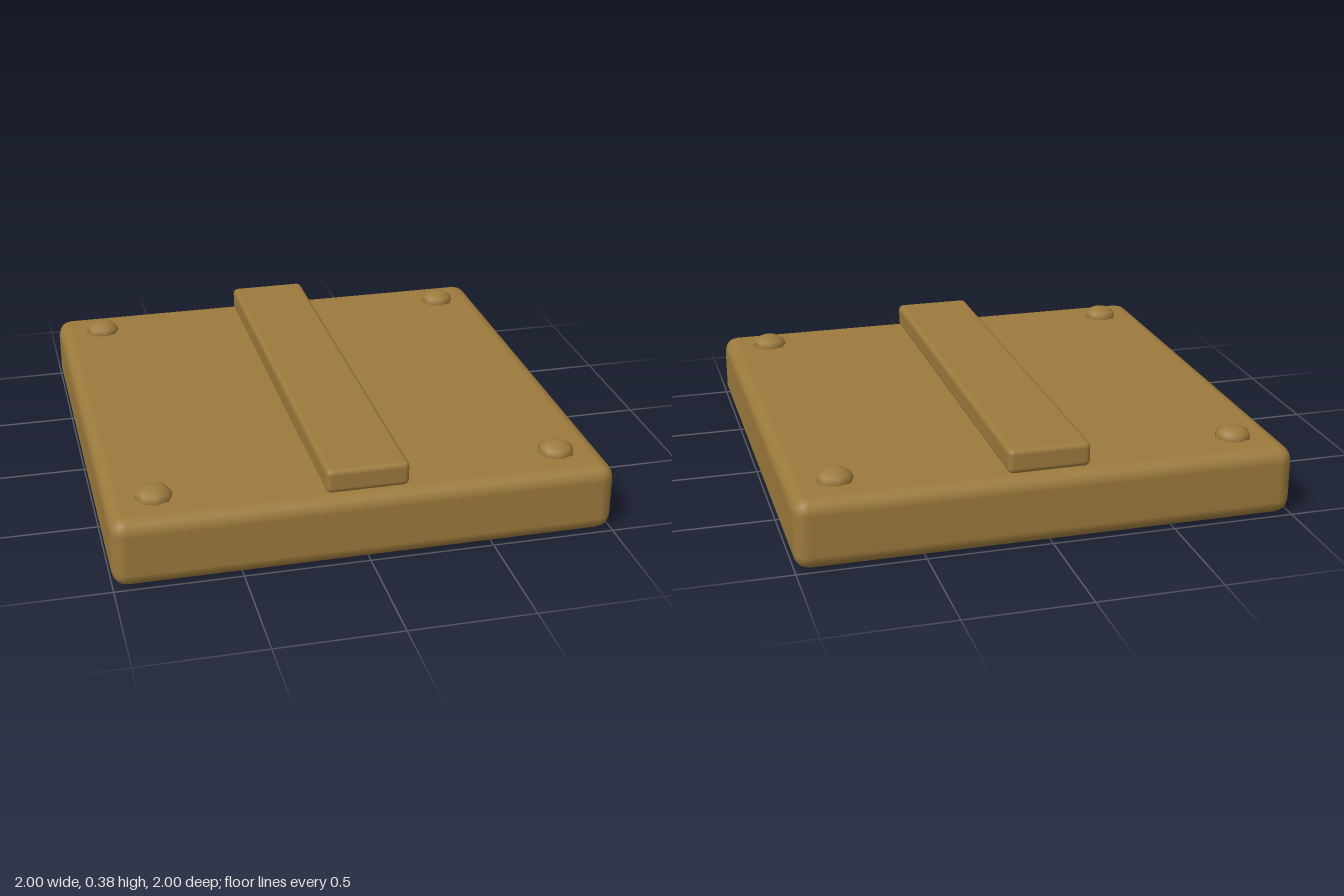
import * as THREE from 'three';
import { RoundedBoxGeometry } from 'three/addons/geometries/RoundedBoxGeometry.js';

export function createModel() {
  const model = new THREE.Group();
  model.name = 'studdedSlab';
  const ochre = new THREE.MeshStandardMaterial({ color: 0x9c7a3c });
  ochre.name = 'ochre';

  function add(name, geometry, x, y, z) {
    const mesh = new THREE.Mesh(geometry, ochre);
    mesh.name = name;
    mesh.position.set(x, y, z);
    model.add(mesh);
    return mesh;
  }

  const top = 0.285;

  // Square slab with softened edges
  add('slab', new RoundedBoxGeometry(2, top, 2, 2, 0.06), 0, top / 2, 0);

  // Raised strap running front to back
  add('strap', new RoundedBoxGeometry(0.33, 0.1, 1.9, 2, 0.022), 0, top + 0.048, 0);

  // Flattened domed rivets near the four corners
  const dome = new THREE.SphereGeometry(0.075, 8, 6);
  dome.scale(1, 0.62, 1);
  for (const x of [-0.81, 0.81]) {
    for (const z of [-0.81, 0.81]) add('rivet', dome, x, top + 0.002, z);
  }

  return model;
}
